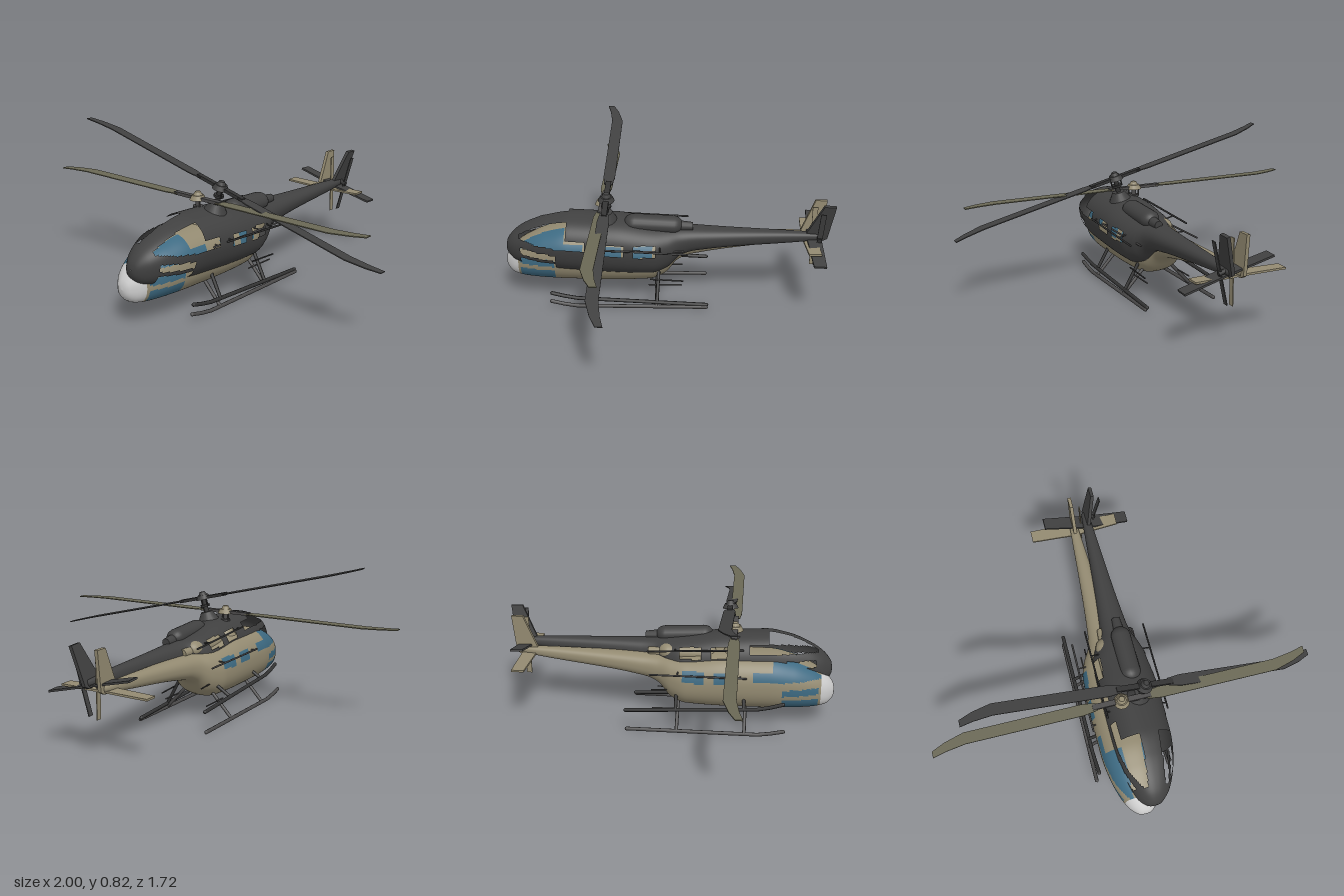
import * as THREE from 'three';

const mat = (name, color, side = THREE.FrontSide) => {
  const m = new THREE.MeshStandardMaterial({ color, side });
  m.name = name;
  return m;
};

// Fuselage sections from nose to tail: z, bottom, top, half width
const SECTIONS = [
  [0.87, 0.19, 0.191, 0.001], [0.865, 0.16, 0.22, 0.03], [0.85, 0.135, 0.247, 0.05],
  [0.82, 0.115, 0.28, 0.078], [0.75, 0.103, 0.327, 0.112], [0.65, 0.098, 0.37, 0.14],
  [0.53, 0.095, 0.394, 0.155], [0.3, 0.093, 0.393, 0.158], [0.1, 0.1, 0.372, 0.15],
  [0.02, 0.13, 0.367, 0.125], [-0.05, 0.205, 0.363, 0.085], [-0.12, 0.235, 0.362, 0.07],
  [-0.7, 0.32, 0.37, 0.025], [-0.78, 0.335, 0.367, 0.02], [-0.785, 0.349, 0.351, 0.001],
];

// Smooth interpolation that never overshoots the section values
function sectionAt(z) {
  const S = SECTIONS, last = S.length - 2;
  let i = 0;
  while (i < last && z < S[i + 1][0]) i++;
  const slope = (k, c) => (S[k + 1][c] - S[k][c]) / (S[k + 1][0] - S[k][0]);
  const tangent = (k, c) => {
    if (k === 0) return slope(0, c);
    if (k > last) return slope(last, c);
    const a = slope(k - 1, c), b = slope(k, c);
    return a * b > 0 ? (2 * a * b) / (a + b) : 0;
  };
  const h = S[i + 1][0] - S[i][0], t = (z - S[i][0]) / h, u = 1 - t;
  return [1, 2, 3].map((c) =>
    (1 + 2 * t) * u * u * S[i][c] + t * u * u * h * tangent(i, c) +
    t * t * (3 - 2 * t) * S[i + 1][c] - t * t * u * h * tangent(i + 1, c));
}

// Which part of the skin a point belongs to
function skinPart(x, y, z) {
  const ax = Math.abs(x), within = (v, a, b) => v > a && v < b;
  if (z > 0.8) return 'noseCap';
  const windshield = within(z, 0.545, 0.79) && y > 0.282 && ax > 0.048;
  const doorWindow = within(z, 0.44, 0.55) && within(y, 0.282, 0.33);
  const cabinWindow = (within(z, 0.25, 0.345) || within(z, 0.085, 0.19)) && within(y, 0.262, 0.322);
  const chinWindow = within(z, 0.6, 0.78) && ax > 0.06 && (within(y, 0.205, 0.242) || within(y, 0.122, 0.182));
  return windshield || doorWindow || cabinWindow || chinWindow ? 'windows' : 'fuselage';
}

// Lofted skin, returned as one geometry per part
function skinGeometries() {
  const COLS = 112, zs = [0.87, 0.868, 0.865];
  for (let k = 1; k <= 80; k++) zs.push(0.87 - k * 0.0125);
  for (let k = 1; k <= 8; k++) zs.push(-0.13 - k * 0.08125);
  zs.push(-0.785);
  const pos = [], faces = { fuselage: [], windows: [], noseCap: [] };
  const bend = (v) => Math.sign(v) * Math.abs(v) ** 0.87;
  for (const z of zs) {
    const [lo, hi, half] = sectionAt(z);
    for (let j = 0; j < COLS; j++) {
      const a = (j / COLS) * Math.PI * 2;
      pos.push(half * bend(Math.cos(a)), (lo + hi) / 2 + ((hi - lo) / 2) * bend(Math.sin(a)), z);
    }
  }
  for (let i = 0; i < zs.length - 1; i++) {
    for (let j = 0; j < COLS; j++) {
      const a = i * COLS + j, d = i * COLS + ((j + 1) % COLS), b = a + COLS, c = d + COLS;
      const mid = [0, 1, 2].map((k) => (pos[a * 3 + k] + pos[c * 3 + k]) / 2);
      faces[skinPart(...mid)].push(a, b, d, b, c, d);
    }
  }
  const whole = new THREE.BufferGeometry();
  whole.setAttribute('position', new THREE.Float32BufferAttribute(pos, 3));
  whole.setIndex(Object.values(faces).flat());
  whole.computeVertexNormals();
  const out = {};
  for (const part in faces) {
    out[part] = new THREE.BufferGeometry();
    out[part].setAttribute('position', whole.getAttribute('position'));
    out[part].setAttribute('normal', whole.getAttribute('normal'));
    out[part].setIndex(faces[part]);
  }
  return out;
}

function plate(points, thickness) {
  const shape = new THREE.Shape(points.map((p) => new THREE.Vector2(...p)));
  return new THREE.ExtrudeGeometry(shape, { depth: thickness, bevelEnabled: false }).translate(0, 0, -thickness / 2);
}

const HUB = new THREE.Vector3(0, 0.515, 0.345);

// One complete airframe; without glass its windows are open holes
function helicopter(name, paint, skin, rotorScale) {
  const g = new THREE.Group();
  g.name = name;
  const add = (part, geo, material, x = 0, y = 0, z = 0, parent = g) => {
    const m = new THREE.Mesh(geo, material);
    m.name = part;
    m.position.set(x, y, z);
    parent.add(m);
    return m;
  };
  const rod = (part, points, r, material) => {
    const path = new THREE.CurvePath();
    const v = points.map((p) => new THREE.Vector3(...p));
    for (let i = 1; i < v.length; i++) path.add(new THREE.LineCurve3(v[i - 1], v[i]));
    add(part, new THREE.TubeGeometry(path, (v.length - 1) * 6, r, 8), material);
    for (const p of [v[0], v[v.length - 1]]) add(part + 'End', new THREE.SphereGeometry(r, 8, 6), material, p.x, p.y, p.z);
  };

  // Skin
  add('fuselage', skin.fuselage, paint.body);
  add('noseCap', skin.noseCap, paint.nose);
  if (paint.glass) add('windows', skin.windows, paint.glass);

  // Engine cowling, exhaust and mast fairing
  const cowl = new THREE.CapsuleGeometry(0.052, 0.2, 8, 20).rotateX(Math.PI / 2).scale(1, 0.85, 1);
  add('engineCowling', cowl, paint.body, 0, 0.375, 0.1);
  add('exhaust', new THREE.CylinderGeometry(0.022, 0.028, 0.07, 14).rotateX(-Math.PI / 2), paint.body, 0, 0.37, -0.07);
  add('mastFairing', new THREE.CylinderGeometry(0.032, 0.06, 0.05, 20), paint.body, 0, 0.41, HUB.z);

  // Main rotor
  const rotor = new THREE.Group();
  rotor.name = 'mainRotor';
  rotor.position.copy(HUB);
  g.add(rotor);
  add('mast', new THREE.CylinderGeometry(0.012, 0.014, 0.13, 12), paint.metal, 0, -0.06, 0, rotor);
  add('swashplate', new THREE.CylinderGeometry(0.026, 0.026, 0.012, 16), paint.metal, 0, -0.045, 0, rotor);
  add('hub', new THREE.CylinderGeometry(0.03, 0.042, 0.024, 16), paint.body, 0, 0.004, 0, rotor);
  add('hubCap', new THREE.CylinderGeometry(0.014, 0.024, 0.018, 16), paint.body, 0, 0.024, 0, rotor);
  const bladeGeo = plate([[0.13, -0.02], [0.2, -0.03], [0.8, -0.03], [0.9, -0.045], [0.967, -0.062],
    [0.967, -0.028], [0.9, 0.002], [0.8, 0.03], [0.2, 0.03], [0.13, 0.02]], 0.005).rotateX(Math.PI / 2);
  bladeGeo.scale(rotorScale, 1, 1);
  for (const turn of [0, Math.PI]) {
    const arm = new THREE.Group();
    arm.name = 'rotorArm';
    arm.rotation.y = turn;
    rotor.add(arm);
    add('blade', bladeGeo, paint.blade, 0, 0, 0, arm);
    add('bladeGrip', new THREE.BoxGeometry(0.13, 0.016, 0.028), paint.metal, 0.085, 0, 0, arm);
    add('pitchLink', new THREE.CylinderGeometry(0.004, 0.004, 0.05, 6), paint.metal, 0.024, -0.022, 0.012, arm);
  }

  // Tail fin, stabilizer and tail rotor
  const fin = plate([[0.69, 0.36], [0.765, 0.54], [0.825, 0.54], [0.805, 0.34], [0.78, 0.325], [0.73, 0.325]], 0.018);
  add('tailFin', fin.rotateY(Math.PI / 2), paint.body);
  const stabilizer = plate([[-0.24, 0.715], [0, 0.70], [0.24, 0.715], [0.24, 0.78], [0, 0.775], [-0.24, 0.78]], 0.01);
  add('stabilizer', stabilizer.rotateX(-Math.PI / 2), paint.body, 0, 0.335, 0);
  add('tailRotorShaft', new THREE.CylinderGeometry(0.012, 0.012, 0.05, 10).rotateZ(Math.PI / 2), paint.metal, 0.025, 0.355, -0.76);
  for (const s of [-1, 1]) {
    add('tailRotorBlade', new THREE.BoxGeometry(0.005, 0.15, 0.028), paint.body, 0.042, 0.355 + s * 0.087, -0.76);
  }

  // Landing skids, struts, side rails and steps
  for (const s of [-1, 1]) {
    rod('skid', [[s * 0.2, 0.035, 0.61], [s * 0.2, 0.01, 0.5], [s * 0.2, 0.01, -0.2]], 0.01, paint.metal);
    for (const z of [0.41, 0.06]) rod('strut', [[s * 0.08, 0.14, z], [s * 0.2, 0.012, z]], 0.009, paint.metal);
    rod('sideRail', [[s * 0.165, 0.31, 0.41], [s * 0.165, 0.31, -0.08]], 0.005, paint.metal);
    for (const z of [0.38, 0.06]) rod('railBracket', [[s * 0.1, 0.31, z], [s * 0.165, 0.31, z]], 0.004, paint.metal);
    rod('stepRail', [[s * 0.125, 0.1, 0.1], [s * 0.125, 0.1, -0.07]], 0.004, paint.metal);
  }
  return g;
}

export function createModel() {
  const charcoal = mat('charcoal', 0x404040, THREE.DoubleSide);
  const soot = mat('soot metal', 0x333333);
  const intact = {
    body: mat('sand', 0x938a71), nose: mat('pale grey', 0xcccccc), glass: mat('blue glass', 0x3d6a82),
    blade: mat('olive', 0x6a6855), metal: mat('dark metal', 0x4c4b4b),
  };
  const bare = { body: charcoal, nose: charcoal, glass: null, blade: charcoal, metal: soot };
  const skin = skinGeometries();

  const model = new THREE.Group();
  model.name = 'helicopters';
  const first = helicopter('sandHelicopter', intact, skin, 1);
  first.position.x = -0.033;

  // Bare charcoal airframe, rolled and pitched about its rotor hub
  const second = helicopter('charcoalHelicopter', bare, skin, 0.965);
  second.rotation.set(-0.05, 0.008, -0.244);
  second.position.set(0.092, 0.585, 0.315).sub(HUB.clone().applyEuler(second.rotation));
  model.add(first, second);
  return model;
}
